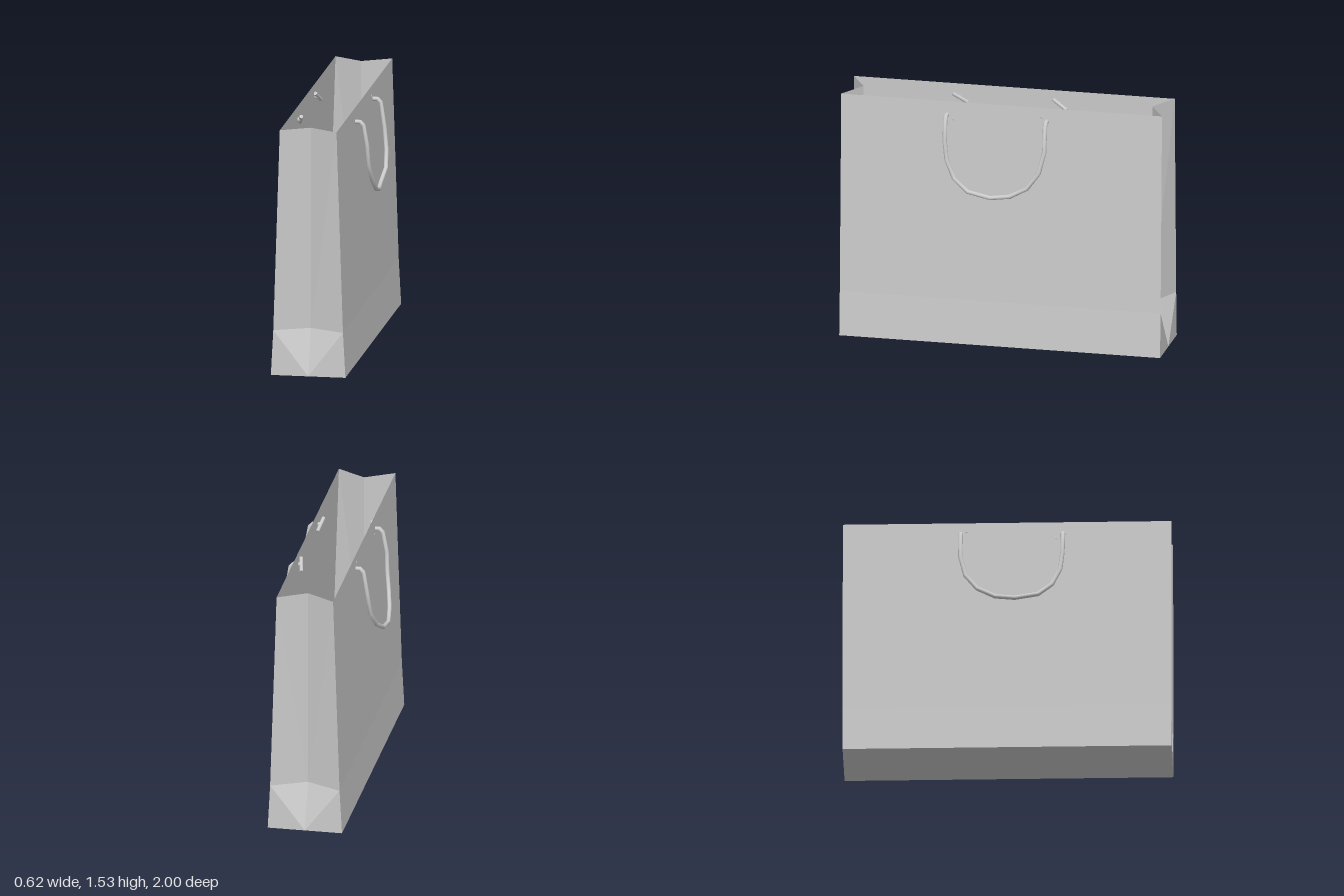
import * as THREE from 'three';

const CX = 0.015; // centre line of the bag in x
const paper = new THREE.MeshStandardMaterial({ color: 0xcccccc, side: THREE.DoubleSide, flatShading: true });
const cord = new THREE.MeshStandardMaterial({ color: 0xcccccc });

// Half widths of the bag at the base, the gusset fold and the rim
const BASE = { y: 0, w: 0.23, depth: 1 };
const FOLD = { y: 0.28, w: 0.215, depth: 0.9 };
const RIM = { y: 1.53, w: 0.175, depth: 0.9 };

const corner = (level, sx, sz) => [CX + sx * level.w, level.y, sz];
const crease = (level, sz) => [CX, level.y, sz * level.depth];

// Flat panel from quads [a, b, c, d], each split along a-c
function panel(name, quads, flip = false) {
  const points = [];
  for (const [a, b, c, d] of quads) {
    points.push(...(flip ? [a, c, b, a, d, c] : [a, b, c, a, c, d]).flat());
  }
  const geometry = new THREE.BufferGeometry();
  geometry.setAttribute('position', new THREE.Float32BufferAttribute(points, 3));
  geometry.computeVertexNormals();
  const mesh = new THREE.Mesh(geometry, paper);
  mesh.name = name;
  return mesh;
}

function makeBag() {
  const bag = new THREE.Group();
  bag.name = 'bag';
  // Floor, facing down
  bag.add(panel('floor', [[
    corner(BASE, -1, -1), corner(BASE, 1, -1), corner(BASE, 1, 1), corner(BASE, -1, 1),
  ]]));
  for (const s of [1, -1]) {
    // Broad wall, slightly tapered towards the rim
    bag.add(panel(s > 0 ? 'leftWall' : 'rightWall', [[BASE, FOLD], [FOLD, RIM]].map(([low, high]) => [
      corner(low, s, 1), corner(low, s, -1), corner(high, s, -1), corner(high, s, 1),
    ]), s < 0));
    // Folded gusset: two halves meeting at an inward crease
    for (const sx of [1, -1]) {
      const half = [[FOLD, RIM], [BASE, FOLD]].map(([low, high]) => [
        crease(low, s), corner(low, sx, s), corner(high, sx, s), crease(high, s),
      ]);
      bag.add(panel(s > 0 ? 'frontGusset' : 'backGusset', half, sx * s < 0));
    }
  }
  return bag;
}

// Cord bent at each of its control points
function rope(points) {
  const curve = new THREE.CatmullRomCurve3(points.map((p) => new THREE.Vector3(...p)), false, 'centripetal');
  curve.getPointAt = curve.getPoint;
  curve.getTangentAt = curve.getTangent;
  const mesh = new THREE.Mesh(new THREE.TubeGeometry(curve, points.length - 1, 0.0135, 10), cord);
  mesh.name = 'handleCord';
  return mesh;
}

// Small bar that holds a cord end inside the wall
function toggle(x, z, tiltX) {
  const mesh = new THREE.Mesh(new THREE.CylinderGeometry(0.0115, 0.0115, 0.105, 10), cord);
  mesh.quaternion.setFromUnitVectors(
    new THREE.Vector3(0, 1, 0), new THREE.Vector3(tiltX, 0.055, 0.085).normalize());
  mesh.position.set(x, 1.445, z);
  mesh.name = 'handleToggle';
  return mesh;
}

// Hanging loop as [y, z]; x is given per handle
const LOOP = [
  [1.445, 0.34], [1.445, 0.34], [1.425, 0.34], [1.3, 0.338], [1.18, 0.325], [1.07, 0.275], [0.995, 0.19],
  [0.962, 0.05], [0.977, -0.07], [1.04, -0.18], [1.14, -0.252], [1.27, -0.283], [1.425, -0.282],
  [1.445, -0.282], [1.445, -0.282],
];
const LEFT_X = [0.175, 0.222, 0.242, 0.265, 0.271, 0.286, 0.295, 0.288, 0.28, 0.292, 0.283, 0.266, 0.242, 0.222, 0.175];
const RIGHT_X = [-0.145, -0.188, -0.208, -0.234, -0.24, -0.259, -0.28, -0.3, -0.292, -0.272, -0.247, -0.235, -0.208, -0.188, -0.145];

function makeHandle(name, xs, side) {
  const handle = new THREE.Group();
  handle.name = name;
  handle.add(rope(LOOP.map(([y, z], i) => [xs[i], y, z])));
  handle.add(toggle(xs[0], 0.335, -0.022 * side));
  handle.add(toggle(xs[0], -0.287, 0.018 * side));
  return handle;
}

export function createModel() {
  const model = new THREE.Group();
  model.name = 'paperBag';
  model.add(makeBag());
  model.add(makeHandle('leftHandle', LEFT_X, 1));
  model.add(makeHandle('rightHandle', RIGHT_X, -1));
  return model;
}
